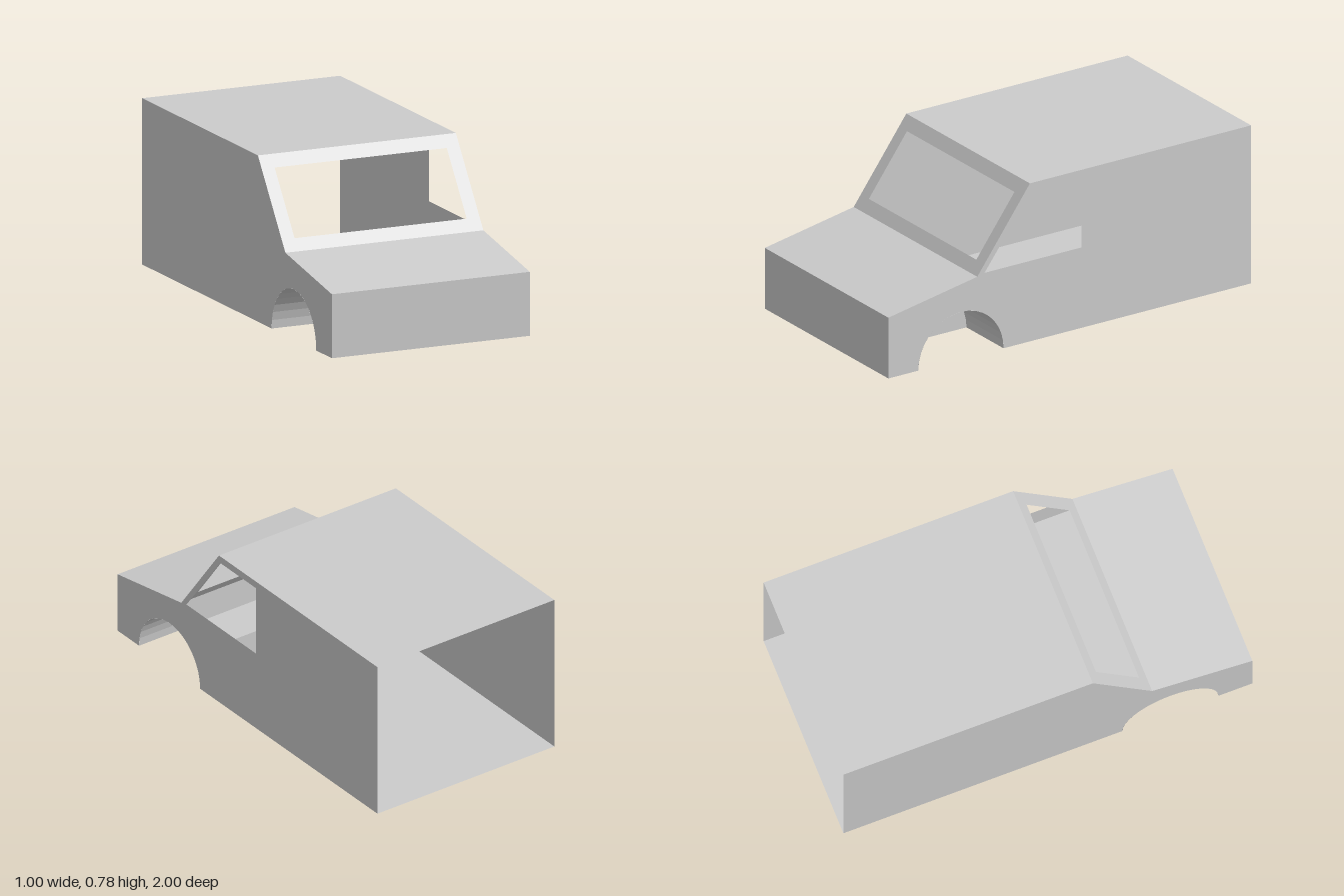
import * as THREE from 'three';

const W = 0.5;                                   // half width of the body
const ARCH = { z: 0.6, r: 0.235, depth: 0.3 };   // wheel arch

export function createModel() {
  const van = new THREE.Group();
  van.name = 'vanBody';
  const sheet = new THREE.MeshStandardMaterial({
    color: 0xcccccc, side: THREE.DoubleSide, flatShading: true,
  });

  const add = (name, geometry) => {
    const mesh = new THREE.Mesh(geometry, sheet);
    mesh.name = name;
    van.add(mesh);
    return mesh;
  };
  const path = (pts, Type = THREE.Shape) => new Type(pts.map(([a, b]) => new THREE.Vector2(a, b)));
  const rect = (x0, y0, x1, y1, Type) => path([[x0, y0], [x1, y0], [x1, y1], [x0, y1]], Type);

  // Full-width sheet running between two (z, y) points, with optional
  // holes given as [x0, s0, x1, s1], s measured along the sheet
  const panel = (name, [z0, y0], [z1, y1], holes = []) => {
    const shape = rect(-W, 0, W, Math.hypot(z1 - z0, y1 - y0));
    for (const h of holes) shape.holes.push(rect(...h, THREE.Path));
    const g = new THREE.ShapeGeometry(shape);
    g.rotateX(Math.atan2(z1 - z0, y1 - y0));
    g.translate(0, y0, z0);
    add(name, g);
  };

  // Outer skin, open at the rear
  const glassLength = Math.hypot(0.29, 0.393);
  const along = (y) => ((y - 0.387) / 0.393) * glassLength;
  panel('frontPanel', [1, 0], [1, 0.3]);
  panel('hood', [1, 0.3], [0.51, 0.387]);
  panel('windshieldFrame', [0.51, 0.387], [0.22, 0.78], [[-0.435, along(0.44), 0.435, along(0.725)]]);
  panel('roof', [0.22, 0.78], [-1, 0.78]);

  // Floor with openings for the front wheels
  const s0 = 1 + ARCH.z - ARCH.r, s1 = 1 + ARCH.z + ARCH.r, inner = W - ARCH.depth;
  const floor = path([
    [-W, 0], [W, 0], [W, s0], [inner, s0], [inner, s1], [W, s1], [W, 2],
    [-W, 2], [-W, s1], [-inner, s1], [-inner, s0], [-W, s0],
  ]);
  add('floor', new THREE.ShapeGeometry(floor).rotateX(Math.PI / 2).translate(0, 0, -1));

  // Step in the cab that covers the wheel wells
  panel('stepRiser', [0.29, 0], [0.29, 0.25]);
  panel('stepTop', [0.51, 0.25], [0.29, 0.25]);
  panel('firewall', [0.51, 0.25], [0.51, 0.387]);

  // Side walls drawn in (z, y); only the left one has a window
  for (const side of [1, -1]) {
    const label = side > 0 ? 'left' : 'right';
    const wall = new THREE.Shape();
    wall.moveTo(-1, 0);
    wall.lineTo(ARCH.z - ARCH.r, 0);
    wall.absarc(ARCH.z, 0, ARCH.r, Math.PI, 0, true);
    wall.lineTo(1, 0);
    wall.lineTo(1, 0.3);
    wall.lineTo(0.51, 0.387);
    wall.lineTo(0.22, 0.78);
    wall.lineTo(-1, 0.78);
    if (side > 0) {
      wall.holes.push(path([[0.47, 0.397], [0.21, 0.745], [-0.065, 0.745], [-0.065, 0.397]], THREE.Path));
    }
    add(label + 'SideWall', new THREE.ShapeGeometry(wall, 18).rotateY(-Math.PI / 2).translate(side * W, 0, 0));

    // Wheel well: half barrel and its inner cap
    const barrel = new THREE.CylinderGeometry(ARCH.r, ARCH.r, ARCH.depth, 18, 1, true, 0, Math.PI);
    barrel.rotateZ(Math.PI / 2);
    add(label + 'WheelWell', barrel).position.set(side * (W - ARCH.depth / 2), 0, ARCH.z);
    const cap = new THREE.CircleGeometry(ARCH.r, 18, 0, Math.PI);
    cap.rotateY(side * Math.PI / 2);
    add(label + 'WheelWellCap', cap).position.set(side * inner, 0, ARCH.z);
  }
  return van;
}
